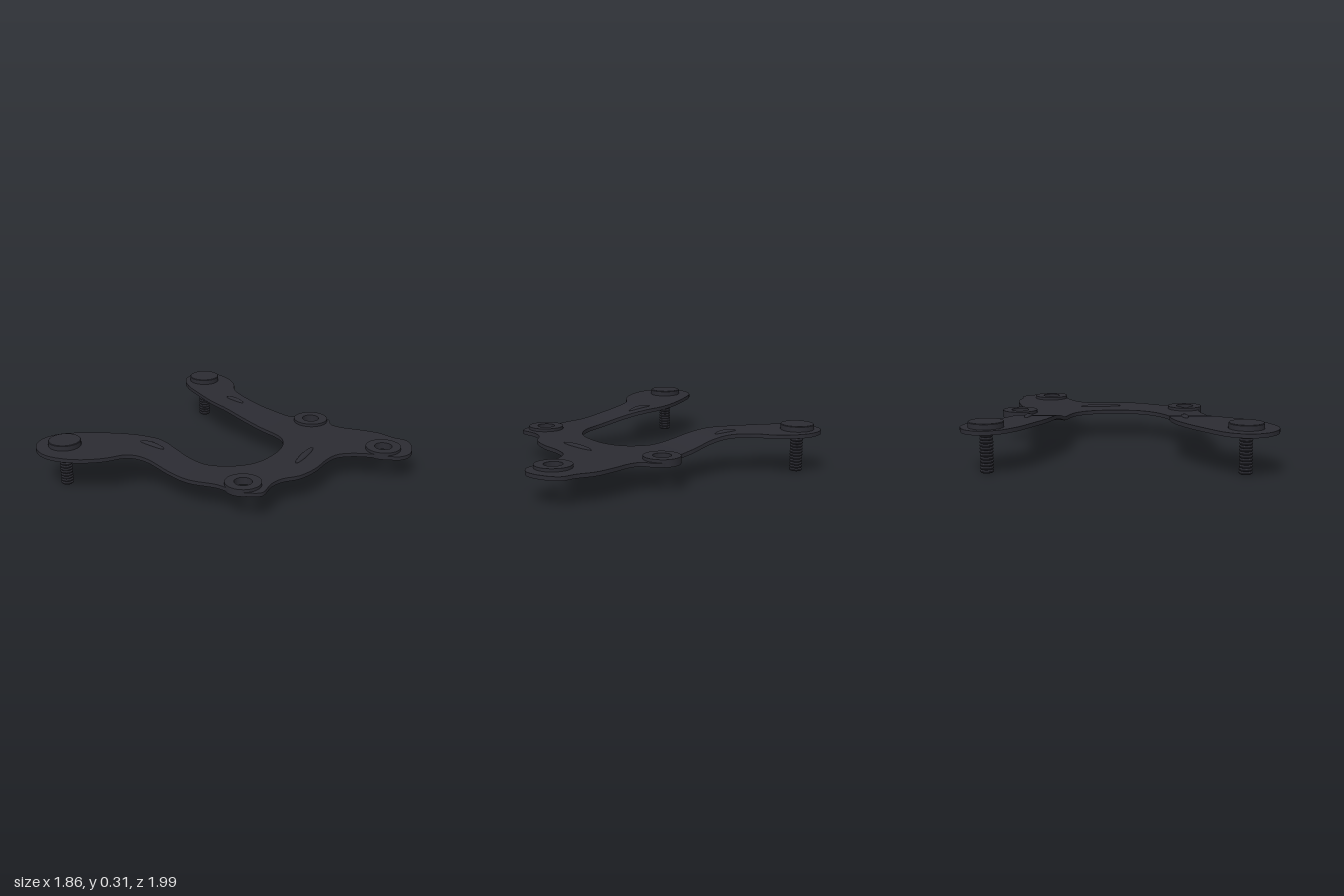
import * as THREE from 'three';
import { toCreasedNormals } from 'three/addons/utils/BufferGeometryUtils.js';

const BOTTOM = 0.163, TOP = 0.188;

// Plate outline as x, z pairs
const OUTLINE = [
  -0.74, -1, -0.62, -0.96, -0.5, -0.825, -0.395, -0.67, -0.325, -0.52, -0.3, -0.37, -0.32, -0.24,
  -0.335, -0.1, -0.315, 0.025, -0.235, 0.16, -0.12, 0.245, 0.03, 0.27, 0.19, 0.25, 0.305, 0.18,
  0.36, 0.07, 0.378, -0.08, 0.39, -0.265, 0.435, -0.475, 0.515, -0.67, 0.595, -0.83, 0.69, -0.93,
  0.8, -0.957, 0.885, -0.91, 0.925, -0.795, 0.895, -0.68, 0.825, -0.58, 0.735, -0.51, 0.665, -0.385,
  0.643, -0.24, 0.663, -0.105, 0.685, 0.015, 0.725, 0.07, 0.807, 0.2, 0.775, 0.275, 0.72, 0.32,
  0.715, 0.4, 0.75, 0.53, 0.775, 0.66, 0.76, 0.78, 0.765, 0.875, 0.69, 0.95, 0.575, 0.99,
  0.495, 0.958, 0.457, 0.884, 0.43, 0.79, 0.368, 0.677, 0.294, 0.61, 0.188, 0.593, 0.03, 0.603,
  -0.12, 0.577, -0.22, 0.513, -0.315, 0.497, -0.447, 0.519, -0.495, 0.466, -0.525, 0.386,
  -0.515, 0.238, -0.558, 0.08, -0.569, -0.1, -0.569, -0.29, -0.62, -0.397, -0.749, -0.476,
  -0.87, -0.608, -0.929, -0.767, -0.913, -0.873, -0.844, -0.963,
];
const BOSSES = [[-0.42, 0.36], [0.7, 0.165], [0.55, 0.81]];
const BOLTS = [[-0.735, -0.815], [0.77, -0.815]];
// x, z, half length, half width, turn about y
const RIBS = [[-0.395, -0.37, 0.09, 0.022, 1.65], [0.575, -0.395, 0.075, 0.02, 1.48], [0.165, 0.44, 0.14, 0.022, 0.15]];

// Rise of the arms toward the rear
const rise = (z) => 0.075 * THREE.MathUtils.smoothstep(-z, -0.06, 0.42)
  + 0.008 * THREE.MathUtils.smoothstep(-z, 0.3, 0.9);

function bend(geo) {
  const p = geo.attributes.position;
  for (let i = 0; i < p.count; i++) p.setY(i, p.getY(i) + rise(p.getZ(i)));
  return geo;
}

// Cut every triangle along lines of constant z so the plate can bend smoothly
function sliceAlongZ(geo, levels) {
  const p = (geo.index ? geo.toNonIndexed() : geo).attributes.position;
  let polys = [];
  for (let i = 0; i < p.count; i += 3) {
    polys.push([0, 1, 2].map((k) => new THREE.Vector3().fromBufferAttribute(p, i + k)));
  }
  for (const level of levels) {
    const next = [];
    for (const poly of polys) {
      for (const side of [1, -1]) {
        const part = [];
        poly.forEach((a, i) => {
          const b = poly[(i + 1) % poly.length];
          const da = (a.z - level) * side, db = (b.z - level) * side;
          if (da >= 0) part.push(a);
          if (da * db < 0) part.push(a.clone().lerp(b, da / (da - db)));
        });
        if (part.length > 2 && part.some((v) => (v.z - level) * side > 1e-6)) next.push(part);
      }
    }
    polys = next;
  }
  const points = [];
  for (const poly of polys) {
    for (let i = 1; i < poly.length - 1; i++) points.push(poly[0], poly[i], poly[i + 1]);
  }
  return new THREE.BufferGeometry().setFromPoints(points);
}

function plateGeometry() {
  const pts = [];
  for (let i = 0; i < OUTLINE.length; i += 2) pts.push(new THREE.Vector3(OUTLINE[i], -OUTLINE[i + 1], 0));
  const curve = new THREE.CatmullRomCurve3(pts, true);
  const shape = new THREE.Shape(curve.getPoints(pts.length * 4).slice(0, -1).map((v) => new THREE.Vector2(v.x, v.y)));
  for (const [x, z] of BOSSES) shape.holes.push(new THREE.Path().absarc(x, -z, 0.058, 0, Math.PI * 2, true));
  const geo = new THREE.ExtrudeGeometry(shape, { depth: TOP - BOTTOM, bevelEnabled: false, curveSegments: 20 });
  geo.rotateX(-Math.PI / 2).translate(0, BOTTOM, 0);
  const levels = Array.from({ length: 25 }, (_, i) => 0.06 - i * 0.04);
  return toCreasedNormals(bend(sliceAlongZ(geo, levels)), 0.6);
}

function lathe(profile, segments) {
  return toCreasedNormals(new THREE.LatheGeometry(profile.map(([r, y]) => new THREE.Vector2(r, y)), segments), 0.6);
}

export function createModel() {
  const model = new THREE.Group();
  const black = new THREE.MeshStandardMaterial({ color: 0x2b2b32 });
  black.name = 'charcoal black';
  const add = (name, geo, x = 0, z = 0) => {
    const mesh = new THREE.Mesh(geo, black);
    mesh.name = name;
    mesh.position.set(x, 0, z);
    model.add(mesh);
  };

  add('bracketPlate', plateGeometry());

  // Raised rings around the mounting holes
  const ring = lathe([[0.057, 0.16], [0.115, 0.16], [0.115, 0.207], [0.057, 0.207], [0.057, 0.16]], 48);
  for (const [x, z] of BOSSES) add('mountingBoss', ring, x, z);

  // Bolts: flat head above the arm, threaded shank below
  const head = lathe([[0, 0.25], [0.105, 0.25], [0.105, 0.301], [0.101, 0.305], [0, 0.305]], 48);
  const thread = [[0, 0], [0.033, 0]];
  const turns = 13, pitch = 0.25 / turns;
  for (let i = 0; i < turns; i++) {
    thread.push([0.04, (i + 0.3) * pitch], [0.04, (i + 0.6) * pitch], [0.033, (i + 1) * pitch]);
  }
  const shank = lathe(thread, 28);
  for (const [x, z] of BOLTS) {
    add('boltHead', head, x, z);
    add('boltShank', shank, x, z);
  }

  // Low stiffening ribs that follow the bend
  for (const [x, z, length, width, turn] of RIBS) {
    const geo = new THREE.SphereGeometry(1, 32, 16).scale(length, 0.014, width);
    geo.rotateY(turn).translate(x, TOP, z);
    bend(geo).computeVertexNormals();
    add('stiffeningRib', geo);
  }
  return model;
}
